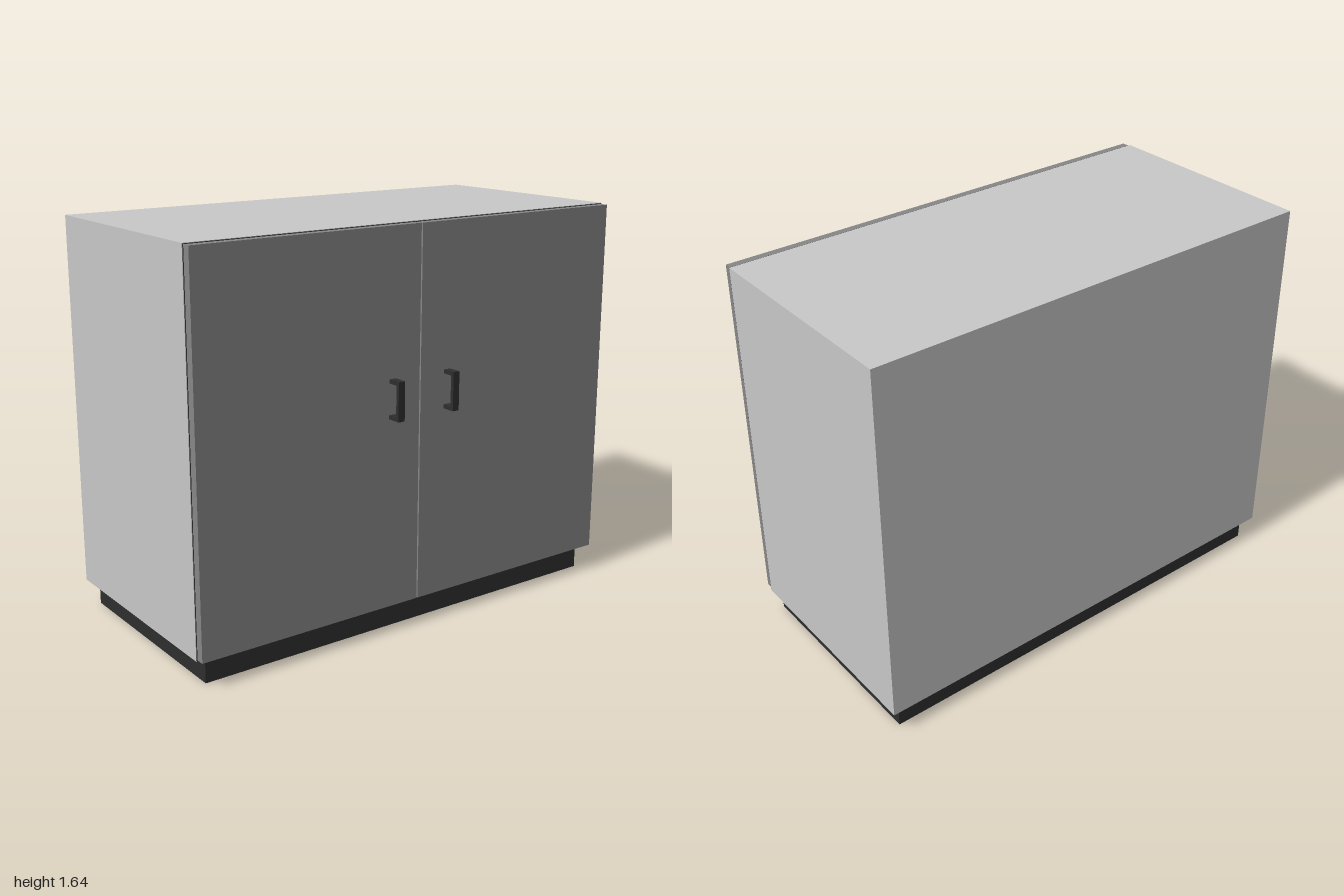
import * as THREE from 'three';

function material(name, color) {
  const m = new THREE.MeshStandardMaterial({ color });
  m.name = name;
  return m;
}

// Box given by its extents on each axis
function box(name, mat, [x0, x1], [y0, y1], [z0, z1]) {
  const mesh = new THREE.Mesh(new THREE.BoxGeometry(x1 - x0, y1 - y0, z1 - z0), mat);
  mesh.position.set((x0 + x1) / 2, (y0 + y1) / 2, (z0 + z1) / 2);
  mesh.name = name;
  return mesh;
}

export function createModel() {
  const lightGrey = material('light grey', 0xc8c8c8);
  const midGrey = material('mid grey', 0x878787);
  const charcoal = material('charcoal', 0x2e2e2e);

  const cabinet = new THREE.Group();
  cabinet.name = 'cabinet';

  // Recessed base and carcass
  cabinet.add(box('plinth', charcoal, [-0.957, 0.957], [0, 0.105], [-0.482, 0.408]));
  cabinet.add(box('carcass', lightGrey, [-1, 1], [0.105, 1.638], [-0.518, 0.42]));

  // Dark seal behind the doors
  cabinet.add(box('doorSeal', charcoal, [-0.998, 0.998], [0.107, 1.636], [0.42, 0.425]));

  // Pair of doors with a narrow gap between them
  cabinet.add(box('rightDoor', midGrey, [-0.997, -0.003], [0.112, 1.634], [0.425, 0.46]));
  cabinet.add(box('leftDoor', midGrey, [0.003, 0.993], [0.112, 1.634], [0.425, 0.46]));

  // Bracket handles: a grip on two short posts
  for (const side of [-1, 1]) {
    const handle = new THREE.Group();
    handle.name = side > 0 ? 'leftHandle' : 'rightHandle';
    const x = [side * 0.135 - 0.015, side * 0.135 + 0.015];
    handle.add(box('grip', charcoal, x, [0.892, 1.05], [0.503, 0.518]));
    handle.add(box('lowerPost', charcoal, x, [0.892, 0.908], [0.46, 0.503]));
    handle.add(box('upperPost', charcoal, x, [1.034, 1.05], [0.46, 0.503]));
    cabinet.add(handle);
  }
  return cabinet;
}
